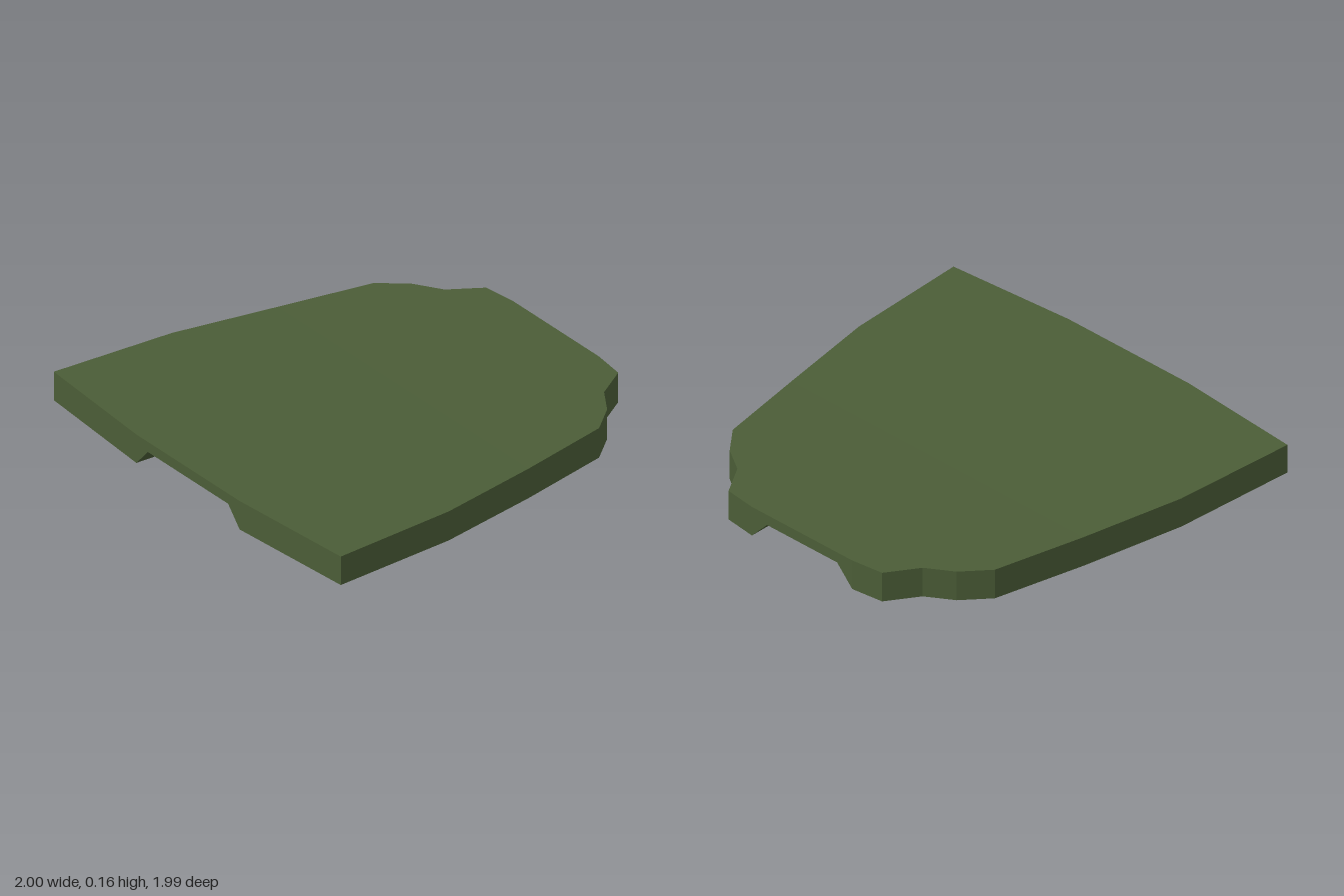
import * as THREE from 'three';

// Stations from back to front: [edge half-width, z at edge, z at middle]
const STATIONS = [
  [0.46, -0.975, -0.995],
  [0.555, -0.825, -0.825],
  [0.68, -0.745, -0.745],
  [0.785, -0.62, -0.62],
  [0.875, -0.17, -0.17],
  [0.965, 0.33, 0.33],
  [1.0, 0.94, 0.99],
];

// The plate rises gently towards the front
const lift = (z) => THREE.MathUtils.clamp((z + 0.17) / 1.11, 0, 1);

// Six columns across: edge, channel foot, channel roof, then mirrored
function crossSection([edge, edgeZ, midZ]) {
  const t = (midZ + 1) / 2;
  const roof = 0.21 + 0.07 * t;
  const foot = 0.3 + 0.06 * t;
  const half = [[edge, edgeZ, 0], [foot, midZ, 0], [roof, midZ, 0.094]];
  const columns = [
    ...half.map(([x, z, y]) => [-x, z, y]),
    ...half.reverse(),
  ];
  return {
    top: columns.map(([x, z]) => [x, 0.145 + 0.015 * lift(z), z]),
    bottom: columns.map(([x, z, y]) => [x, y + 0.02 * lift(z) * (y ? 0.8 : 1), z]),
  };
}

function plateGeometry() {
  const rows = STATIONS.map(crossSection);
  const positions = [];
  // Corners run counter-clockwise seen from outside
  const quad = (a, b, c, d) => positions.push(...a, ...b, ...c, ...a, ...c, ...d);
  const last = 5;

  for (let i = 0; i < rows.length - 1; i++) {
    const back = rows[i], front = rows[i + 1];
    for (let j = 0; j < last; j++) {
      quad(front.top[j], front.top[j + 1], back.top[j + 1], back.top[j]);
      quad(back.bottom[j], back.bottom[j + 1], front.bottom[j + 1], front.bottom[j]);
    }
    // Side walls
    quad(front.bottom[last], back.bottom[last], back.top[last], front.top[last]);
    quad(back.bottom[0], front.bottom[0], front.top[0], back.top[0]);
  }

  // Front and back end walls
  const back = rows[0], front = rows[rows.length - 1];
  for (let j = 0; j < last; j++) {
    quad(front.bottom[j], front.bottom[j + 1], front.top[j + 1], front.top[j]);
    quad(back.bottom[j + 1], back.bottom[j], back.top[j], back.top[j + 1]);
  }

  const geometry = new THREE.BufferGeometry();
  geometry.setAttribute('position', new THREE.Float32BufferAttribute(positions, 3));
  geometry.computeVertexNormals();
  return geometry;
}

export function createModel() {
  const group = new THREE.Group();
  group.name = 'channelledPlate';
  const material = new THREE.MeshStandardMaterial({ color: 0x4b5d37, flatShading: true });
  const plate = new THREE.Mesh(plateGeometry(), material);
  plate.name = 'plate';
  group.add(plate);
  return group;
}
